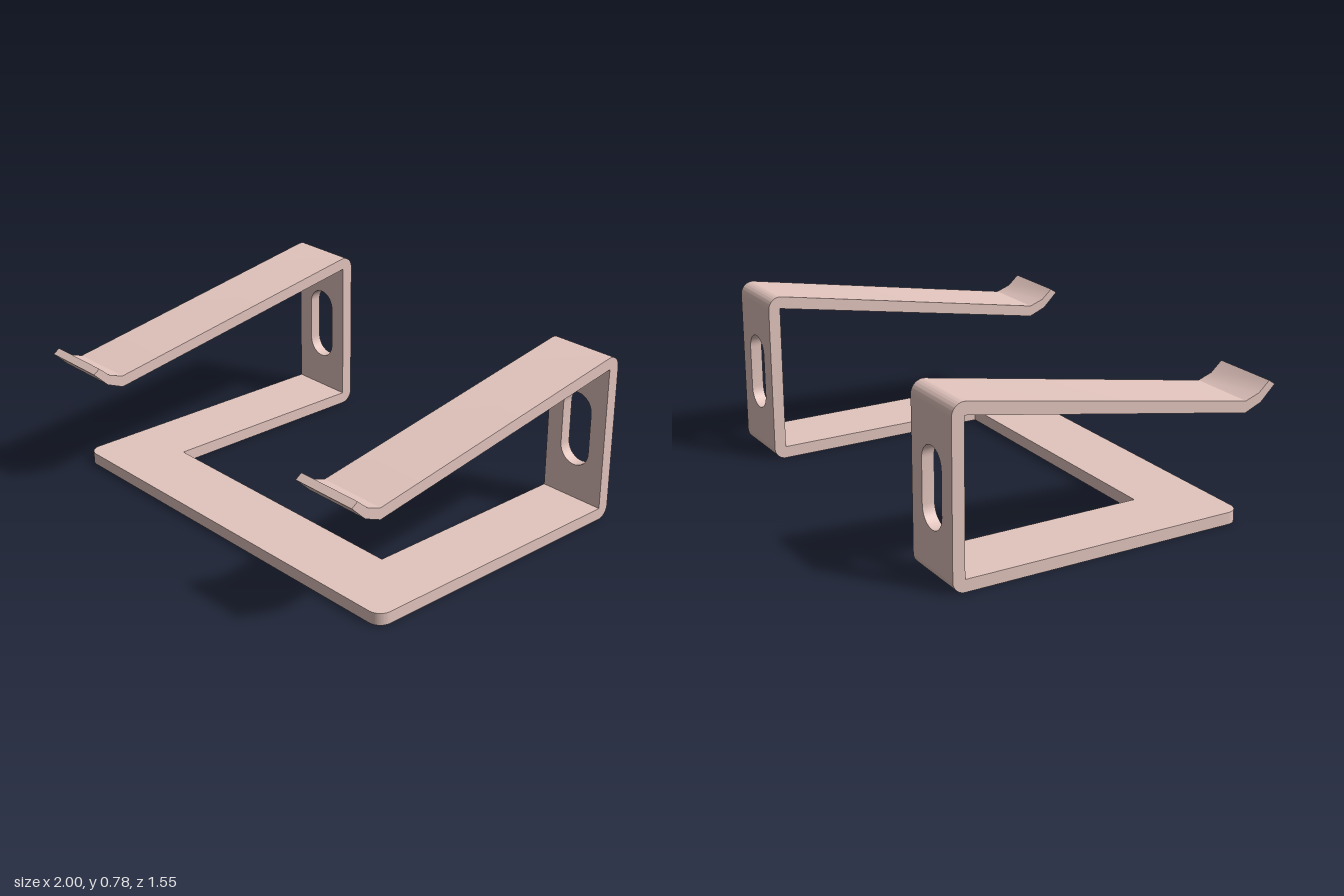
import * as THREE from 'three';
import { toCreasedNormals } from 'three/addons/utils/BufferGeometryUtils.js';

const T = 0.055;                 // sheet thickness
const X0 = 0.68, X1 = 1;         // inner and outer edge of each strip
const BACK = -0.72;              // inner face of the uprights
const FRONT = 0.622;             // front edge of the base
const TOP = 0.725;               // height of the inner top bend

const material = new THREE.MeshStandardMaterial({ color: 0xe3c5be });

function extrude(shape, depth) {
  return new THREE.ExtrudeGeometry(shape, { depth, bevelEnabled: false, curveSegments: 12 });
}

function addMesh(parent, name, geometry) {
  const mesh = new THREE.Mesh(toCreasedNormals(geometry, 0.5), material);
  mesh.name = name;
  parent.add(mesh);
}

// Extrudes a side profile, drawn with u = -z and v = y, across one strip
function strip(shape, x) {
  return extrude(shape, X1 - X0).rotateY(Math.PI / 2).translate(x, 0, 0);
}

// U-shaped plate with two rounded front corners
function baseGeometry() {
  const r = 0.06, s = new THREE.Shape();
  s.moveTo(-X1, BACK);
  s.lineTo(-X0, BACK);
  s.lineTo(-X0, 0.303);
  s.lineTo(X0, 0.303);
  s.lineTo(X0, BACK);
  s.lineTo(X1, BACK);
  s.lineTo(X1, FRONT - r);
  s.absarc(X1 - r, FRONT - r, r, 0, Math.PI / 2, false);
  s.lineTo(-X1 + r, FRONT);
  s.absarc(-X1 + r, FRONT - r, r, Math.PI / 2, Math.PI, false);
  s.closePath();
  return extrude(s, T).rotateX(Math.PI / 2).translate(0, T, 0);
}

// Quarter-round bend between base and upright
function bendShape() {
  const s = new THREE.Shape();
  s.moveTo(-BACK, T);
  s.lineTo(-BACK, 0);
  s.absarc(-BACK, T, T, -Math.PI / 2, 0, false);
  s.closePath();
  return s;
}

// Upright with a vertical cable slot
function uprightGeometry(x) {
  const w = X1 - X0, r = 0.078;
  const s = new THREE.Shape();
  s.moveTo(0, T);
  s.lineTo(w, T);
  s.lineTo(w, TOP);
  s.lineTo(0, TOP);
  s.closePath();
  const slot = new THREE.Path();
  slot.absarc(w / 2, 0.565 - r, r, 0, Math.PI, false);
  slot.absarc(w / 2, 0.215 + r, r, Math.PI, Math.PI * 2, false);
  slot.closePath();
  s.holes.push(slot);
  return extrude(s, T).translate(x, 0, BACK - T);
}

// Sloping arm with its rounded top bend and upturned front lip
function armShape() {
  const slope = Math.atan2(TOP - 0.49, 0.625 - BACK);
  const s = new THREE.Shape();
  s.moveTo(-BACK, TOP);
  s.lineTo(-BACK + T, TOP);
  s.absarc(-BACK, TOP, T, 0, Math.PI / 2 + slope, false);
  const lip = [[0.625, 0.542], [0.693, 0.566], [0.745, 0.612],
    [0.775, 0.591], [0.705, 0.523], [0.625, 0.49]];
  lip.forEach(([z, y]) => s.lineTo(-z, y));
  s.closePath();
  return s;
}

export function createModel() {
  const model = new THREE.Group();
  model.name = 'laptopStand';
  addMesh(model, 'base', baseGeometry());

  for (const [side, x] of [['right', -X1], ['left', X0]]) {
    const support = new THREE.Group();
    support.name = side + 'Support';
    addMesh(support, side + 'LowerBend', strip(bendShape(), x));
    addMesh(support, side + 'Upright', uprightGeometry(x));
    addMesh(support, side + 'Arm', strip(armShape(), x));
    model.add(support);
  }
  return model;
}
